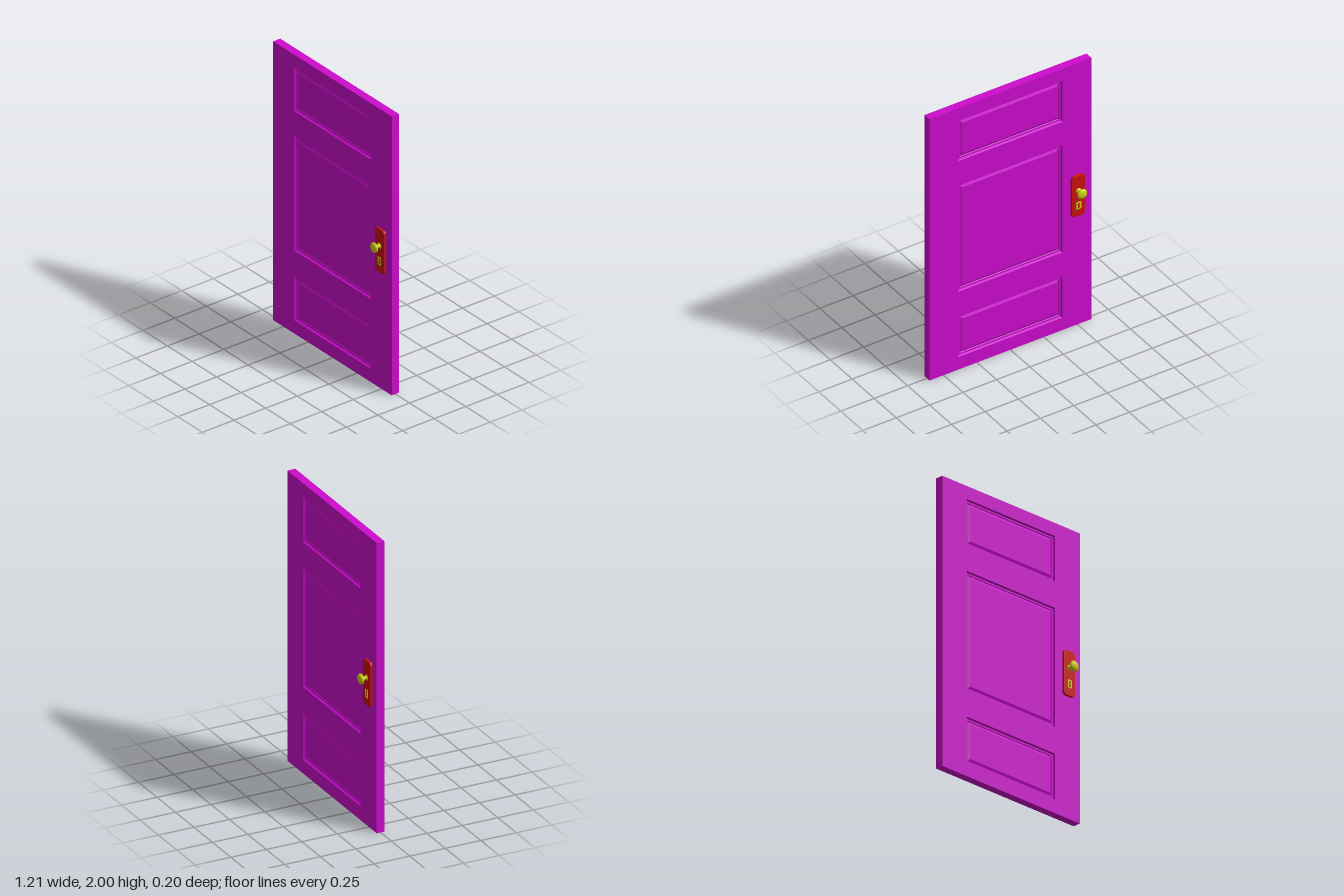
import * as THREE from 'three';

const HALF_W = 0.605, HEIGHT = 2, HALF_T = 0.028;
const PANELS = [[0.095, 0.41], [0.595, 1.415], [1.595, 1.91]];
const PANEL_X = [-0.39, 0.388];

const paint = new THREE.MeshStandardMaterial({ color: 0xcc0ccc });
const red = new THREE.MeshStandardMaterial({ color: 0xcc1111 });
const brass = new THREE.MeshStandardMaterial({ color: 0xcccc11 });

function addMesh(parent, name, geometry, material) {
  const mesh = new THREE.Mesh(geometry, material);
  mesh.name = name;
  parent.add(mesh);
  return mesh;
}

// Rectangular rings swept along a profile of [inset, z], optionally closed by a flat centre
function rectRings([x0, x1], [y0, y1], profile, capped) {
  const rings = profile.map(([i, z]) => [
    [x0 + i, y0 + i, z], [x1 - i, y0 + i, z], [x1 - i, y1 - i, z], [x0 + i, y1 - i, z],
  ]);
  const pos = [];
  const quad = (a, b, c, d) => pos.push(...a, ...b, ...c, ...a, ...c, ...d);
  for (let k = 0; k < rings.length - 1; k++) {
    for (let j = 0; j < 4; j++) {
      const n = (j + 1) % 4;
      quad(rings[k][j], rings[k][n], rings[k + 1][n], rings[k + 1][j]);
    }
  }
  if (capped) quad(...rings[rings.length - 1]);
  const g = new THREE.BufferGeometry();
  g.setAttribute('position', new THREE.Float32BufferAttribute(pos, 3));
  g.computeVertexNormals();
  return g;
}

function rectPath(path, x0, x1, y0, y1) {
  path.moveTo(x0, y0);
  path.lineTo(x1, y0);
  path.lineTo(x1, y1);
  path.lineTo(x0, y1);
  path.closePath();
  return path;
}

function roundedRect(w, h, r) {
  const s = new THREE.Shape(), x = w / 2 - r, y = h / 2 - r;
  s.absarc(x, y, r, 0, Math.PI / 2);
  s.absarc(-x, y, r, Math.PI / 2, Math.PI);
  s.absarc(-x, -y, r, Math.PI, Math.PI * 1.5);
  s.absarc(x, -y, r, Math.PI * 1.5, Math.PI * 2);
  s.closePath();
  return s;
}

// Flat face of the door with three moulded panels
function addFace(side) {
  const face = rectPath(new THREE.Shape(), -HALF_W, HALF_W, 0, HEIGHT);
  for (const [y0, y1] of PANELS) face.holes.push(rectPath(new THREE.Path(), ...PANEL_X, y0, y1));
  addMesh(side, 'doorFace', new THREE.ShapeGeometry(face).translate(0, 0, HALF_T), paint);

  const moulding = [[0, HALF_T], [0.006, 0.016], [0.018, 0.016], [0.022, 0.012], [0.038, 0.02]];
  for (const y of PANELS) addMesh(side, 'panel', rectRings(PANEL_X, y, moulding, true), paint);
}

// Backplate, knob and keyhole
function addHandle(side) {
  const handle = new THREE.Group();
  handle.name = 'handle';
  handle.position.set(0.499, 0, HALF_T);
  side.add(handle);

  const plate = new THREE.ExtrudeGeometry(roundedRect(0.098, 0.31, 0.025), {
    depth: 0.013, bevelThickness: 0.003, bevelSize: 0.003, bevelOffset: -0.003, bevelSegments: 2, curveSegments: 6,
  });
  addMesh(handle, 'backplate', plate, red).position.y = 0.995;

  // Flared neck running into a flattened round knob
  const profile = [[0.02, 0.016], [0.018, 0.019], [0.013, 0.023], [0.012, 0.032], [0.014, 0.043]];
  for (let i = 0; i <= 14; i++) {
    const a = -1.1 + (i / 14) * (Math.PI / 2 + 1.1);
    profile.push([Math.max(0, 0.0355 * Math.cos(a)), 0.057 + 0.017 * Math.sin(a)]);
  }
  const knob = new THREE.LatheGeometry(profile.map(([r, y]) => new THREE.Vector2(r, y)), 32);
  addMesh(handle, 'knob', knob.rotateX(Math.PI / 2), brass).position.y = 1.032;

  // Keyhole surround, with a round and tapered opening
  const surround = rectPath(new THREE.Shape(), -0.018, 0.018, -0.028, 0.028);
  const opening = new THREE.Path();
  opening.moveTo(-0.01, -0.021);
  opening.lineTo(0.01, -0.021);
  opening.lineTo(0.005, 0.004);
  opening.absarc(0, 0.011, 0.0085, -0.95, Math.PI + 0.95, false);
  opening.closePath();
  surround.holes.push(opening);
  const key = new THREE.ExtrudeGeometry(surround, { depth: 0.003, bevelEnabled: false, curveSegments: 8 });
  addMesh(handle, 'keyholeSurround', key, brass).position.set(0, 0.922, 0.0155);
}

export function createModel() {
  const door = new THREE.Group();
  door.name = 'door';

  // Outer edges of the slab
  const edge = rectRings([-HALF_W, HALF_W], [0, HEIGHT], [[0, -HALF_T], [0, HALF_T]], false);
  addMesh(door, 'doorEdge', edge, paint);

  // The back repeats the front, turned half way round
  ['frontSide', 'backSide'].forEach((name, i) => {
    const side = new THREE.Group();
    side.name = name;
    side.rotation.y = i * Math.PI;
    addFace(side);
    addHandle(side);
    door.add(side);
  });
  return door;
}
